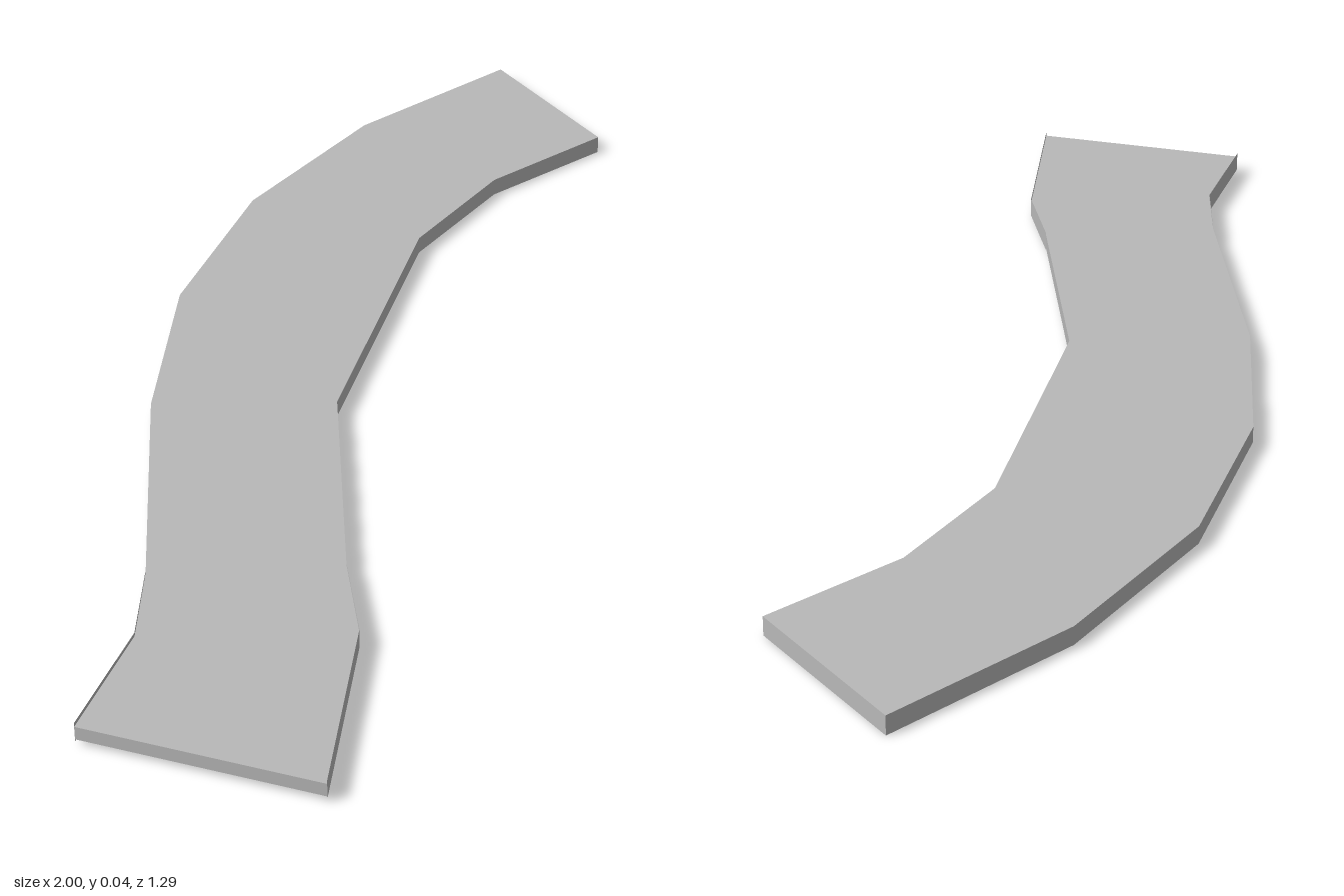
import * as THREE from 'three';

// Stations along the path: back x, z, front x, z, underside y, deck y
const stations = [
  [-1.0, 0.28, -0.84, 0.645, 0.012, 0.036],
  [-0.79, 0.19, -0.55, 0.44, 0.012, 0.036],
  [-0.67, 0.09, -0.44, 0.31, 0.012, 0.039],
  [-0.33, -0.25, -0.2, 0.07, 0.01, 0.038],
  [-0.05, -0.465, -0.11, -0.02, 0.008, 0.037],
  [0.28, -0.605, 0.39, -0.28, 0.005, 0.036],
  [0.64, -0.65, 0.65, -0.32, 0.002, 0.034],
  [1.0, -0.605, 0.915, -0.28, 0.0, 0.033],
];

function quadGeometry(quads) {
  const pos = [];
  for (const [a, b, c, d] of quads) pos.push(...a, ...b, ...c, ...a, ...c, ...d);
  const g = new THREE.BufferGeometry();
  g.setAttribute('position', new THREE.Float32BufferAttribute(pos, 3));
  g.computeVertexNormals();
  return g;
}

// Closed slab through a run of stations
function slab(rows) {
  const rings = rows.map(([bx, bz, fx, fz, lo, hi]) => [
    [bx, lo, bz], [bx, hi, bz], [fx, hi, fz], [fx, lo, fz],
  ]);
  const quads = [];
  for (let i = 0; i < rings.length - 1; i++) {
    for (let k = 0; k < 4; k++) {
      const n = (k + 1) % 4;
      quads.push([rings[i][k], rings[i][n], rings[i + 1][n], rings[i + 1][k]]);
    }
  }
  const end = rings[rings.length - 1];
  quads.push([...rings[0]].reverse(), end);
  return quadGeometry(quads);
}

// Thin side wall, slightly taller than the deck; side 0 = back, 2 = front
function wall(rows, side, lo, hi) {
  const quads = [];
  for (let i = 0; i < rows.length - 1; i++) {
    const [ax, az] = rows[i].slice(side, side + 2);
    const [bx, bz] = rows[i + 1].slice(side, side + 2);
    quads.push([[ax, lo, az], [bx, lo, bz], [bx, hi, bz], [ax, hi, az]]);
  }
  return quadGeometry(quads);
}

export function createModel() {
  const group = new THREE.Group();
  const grey = new THREE.MeshStandardMaterial({ color: 0xb8b8b8, side: THREE.DoubleSide, flatShading: true });
  grey.name = 'pathGrey';
  const add = (name, geometry) => {
    const mesh = new THREE.Mesh(geometry, grey);
    mesh.name = name;
    group.add(mesh);
  };

  const entry = stations.slice(0, 3);
  add('entryDeck', slab(entry));
  add('entryBackWall', wall(entry, 0, 0.008, 0.043));
  add('entryFrontWall', wall(entry, 2, 0.008, 0.043));
  add('curvedDeck', slab(stations.slice(2)));
  return group;
}
